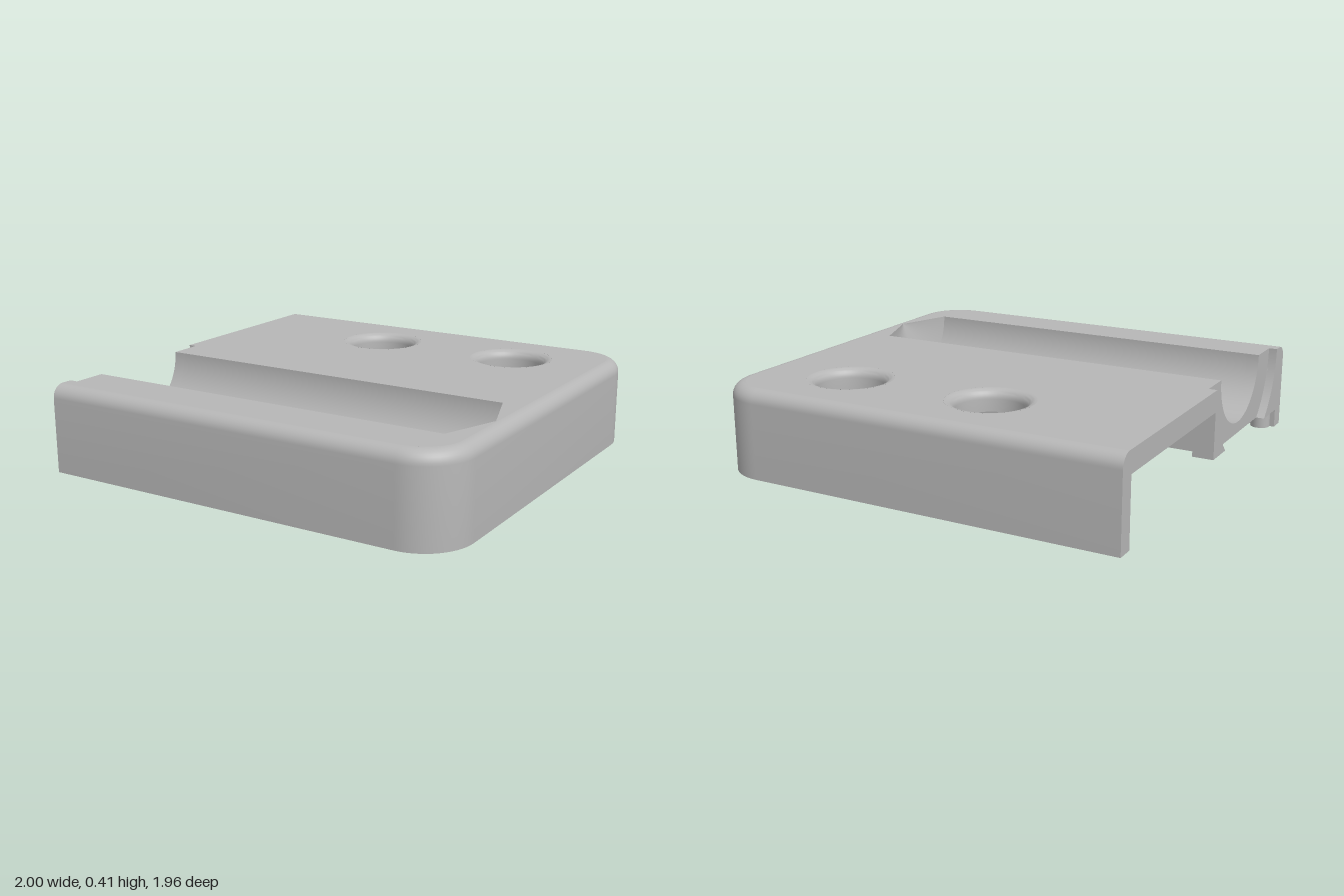
import * as THREE from 'three';
import { toCreasedNormals } from 'three/addons/utils/BufferGeometryUtils.js';

const H = 0.41, HALF = 0.98, CORNER = 0.23, FILLET = 0.06, WALL = 0.08;
const UNDER = 0.31, FLOOR = 0.09;            // underside of the top plate, underside of the block
const GZ = 0.445, GR = 0.265, RR = 0.425;    // groove centre, groove radius, end recess radius
const V = (x, y) => new THREE.Vector2(x, y);

// Open-ended plan outline (x, z) of the cover, moved inwards by an inset
function outline(inset) {
  const pts = [V(-1, -HALF + inset)], r = CORNER - inset, n = 14;
  for (const s of [-1, 1]) {
    for (let i = 0; i <= n; i++) {
      const a = (s < 0 ? -Math.PI / 2 : 0) + (i / n) * Math.PI / 2;
      pts.push(V(1 - CORNER + r * Math.cos(a), s * (HALF - CORNER) + r * Math.sin(a)));
    }
  }
  pts.push(V(-1, HALF - inset));
  return pts;
}

// Wall section as (inset, y), from the inside over the rim to the rounded top edge
function wallProfile() {
  const p = [V(WALL, UNDER), V(WALL, 0), V(0, 0)];
  for (let i = 0; i <= 8; i++) {
    const a = (i / 8) * Math.PI / 2;
    p.push(V(FILLET * (1 - Math.cos(a)), H - FILLET + FILLET * Math.sin(a)));
  }
  return p;
}

function sweptWall() {
  const pos = [], idx = [], prof = wallProfile();
  const n = outline(0).length;
  prof.forEach(p => outline(p.x).forEach(q => pos.push(q.x, p.y, q.y)));
  for (let j = 0; j < prof.length - 1; j++) {
    for (let i = 0; i < n - 1; i++) {
      const a = j * n + i, b = a + 1, c = a + n, d = c + 1;
      idx.push(a, c, b, b, c, d);
    }
  }
  const g = new THREE.BufferGeometry();
  g.setAttribute('position', new THREE.Float32BufferAttribute(pos, 3));
  g.setIndex(idx);
  return toCreasedNormals(g, 0.6);
}

// Horizontal plate from a plan shape (x, z)
function plate(shape, yTop, depth) {
  const g = new THREE.ExtrudeGeometry(shape, { depth, bevelEnabled: false, curveSegments: 40 });
  return g.rotateX(Math.PI / 2).translate(0, yTop, 0);
}

// Section (z, y) extruded along x
function slice(shape, x0, x1) {
  const g = new THREE.ExtrudeGeometry(shape, { depth: x1 - x0, bevelEnabled: false, curveSegments: 40 });
  return toCreasedNormals(g.rotateY(-Math.PI / 2).translate(x1, 0, 0), 0.5);
}

function circleHole(shape, x, z, r) {
  shape.holes.push(new THREE.Path().absarc(x, z, r, 0, Math.PI * 2, true));
}

// Block section with the half-round groove
function grooveSection(z0, bottom) {
  const s = new THREE.Shape([V(z0, bottom), V(z0, H), V(GZ - GR, H)]);
  s.absarc(GZ, H, GR, Math.PI, Math.PI * 2, false);
  s.lineTo(0.91, H);
  s.lineTo(0.91, bottom);
  return s;
}

export function createModel() {
  const model = new THREE.Group();
  const grey = new THREE.MeshStandardMaterial({ color: 0xb6b6b6, side: THREE.DoubleSide });
  const add = (name, geometry) => {
    const m = new THREE.Mesh(geometry, grey);
    m.name = name;
    model.add(m);
    return m;
  };

  // Outer wall with rounded top edge, and its two cut ends
  add('outerWall', sweptWall());
  for (const s of [-1, 1]) {
    const pts = [...wallProfile(), V(WALL, H)].map(p => V(s * (HALF - p.x), p.y));
    add('wallEnd', new THREE.ShapeGeometry(new THREE.Shape(pts)).rotateY(-Math.PI / 2).translate(-1, 0, 0));
  }

  // Top plate, cut out for the groove, its pointed end and the end recess
  const top = new THREE.Shape([
    ...outline(FILLET),
    V(-1, GZ + RR), V(-0.96, GZ + RR), V(-0.96, GZ + GR), V(0.84, GZ + GR),
    V(0.935, GZ), V(0.84, GZ - GR), V(-0.96, GZ - GR), V(-0.96, GZ - RR), V(-1, GZ - RR),
  ]);
  const holes = [[-0.21, -0.59], [0.52, -0.59]];
  holes.forEach(([x, z]) => circleHole(top, x, z, 0.2));
  add('topPlate', plate(top, H, H - UNDER));

  // Rounded linings of the two through holes
  const lining = [];
  for (let i = 0; i <= 8; i++) {
    const a = (i / 8) * Math.PI / 2;
    lining.push(V(0.2 - 0.043 * Math.sin(a), H - 0.043 * (1 - Math.cos(a))));
  }
  lining.push(V(0.157, UNDER), V(0.2, UNDER));
  for (const [x, z] of holes) {
    add('holeLining', toCreasedNormals(new THREE.LatheGeometry(lining, 40), 0.6).translate(x, 0, z));
  }

  // Groove block, wider at its open end
  add('grooveBlock', slice(grooveSection(0.08, FLOOR + 0.02), -0.9, 0.84));
  add('grooveEndCollar', slice(grooveSection(0.01, FLOOR), -0.96, -0.9));
  add('blockSide', new THREE.BoxGeometry(0.09, 0.3, 0.1).translate(0.885, FLOOR + 0.15, 0.13));

  // Conical end of the groove
  const cone = new THREE.CylinderGeometry(0.0005, GR, 0.095, 40, 1, true, 0, Math.PI);
  add('grooveCone', cone.rotateZ(-Math.PI / 2).translate(0.8875, H, GZ));

  // Cheeks on either side of the end recess
  const cut = Math.asin((H - FLOOR) / RR);
  const backCheek = new THREE.Shape([V(0.01, FLOOR), V(0.01, H), V(GZ - RR, H)]);
  backCheek.absarc(GZ, H, RR, Math.PI, Math.PI + cut, false);
  add('recessBackCheek', slice(backCheek, -1, -0.96));
  const frontCheek = new THREE.Shape([V(0.91, FLOOR), V(0.91, H), V(GZ + RR, H)]);
  frontCheek.absarc(GZ, H, RR, 0, -cut, true);
  add('recessFrontCheek', slice(frontCheek, -1, -0.96));

  // Block underside with four small pilot holes
  const under = new THREE.Shape([V(-0.9, 0.08), V(0.93, 0.08), V(0.93, 0.72), V(0.85, 0.91), V(-0.9, 0.91)]);
  for (const x of [-0.8, 0.44]) for (const z of [0.19, 0.52]) circleHole(under, x, z, 0.015);
  add('blockUnderside', plate(under, FLOOR + 0.02, 0.02));

  // Screw bosses around the rim
  const boss = [V(0, 0.15), V(0.018, 0.15), V(0.018, 0), V(0.048, 0), V(0.048, UNDER)];
  for (const [x, z] of [[-0.93, -0.89], [-0.93, 0.89], [0.86, -0.84], [0.86, 0.84], [0.91, -0.05]]) {
    add('screwBoss', toCreasedNormals(new THREE.LatheGeometry(boss, 24), 0.6).translate(x, 0, z));
  }
  return model;
}
